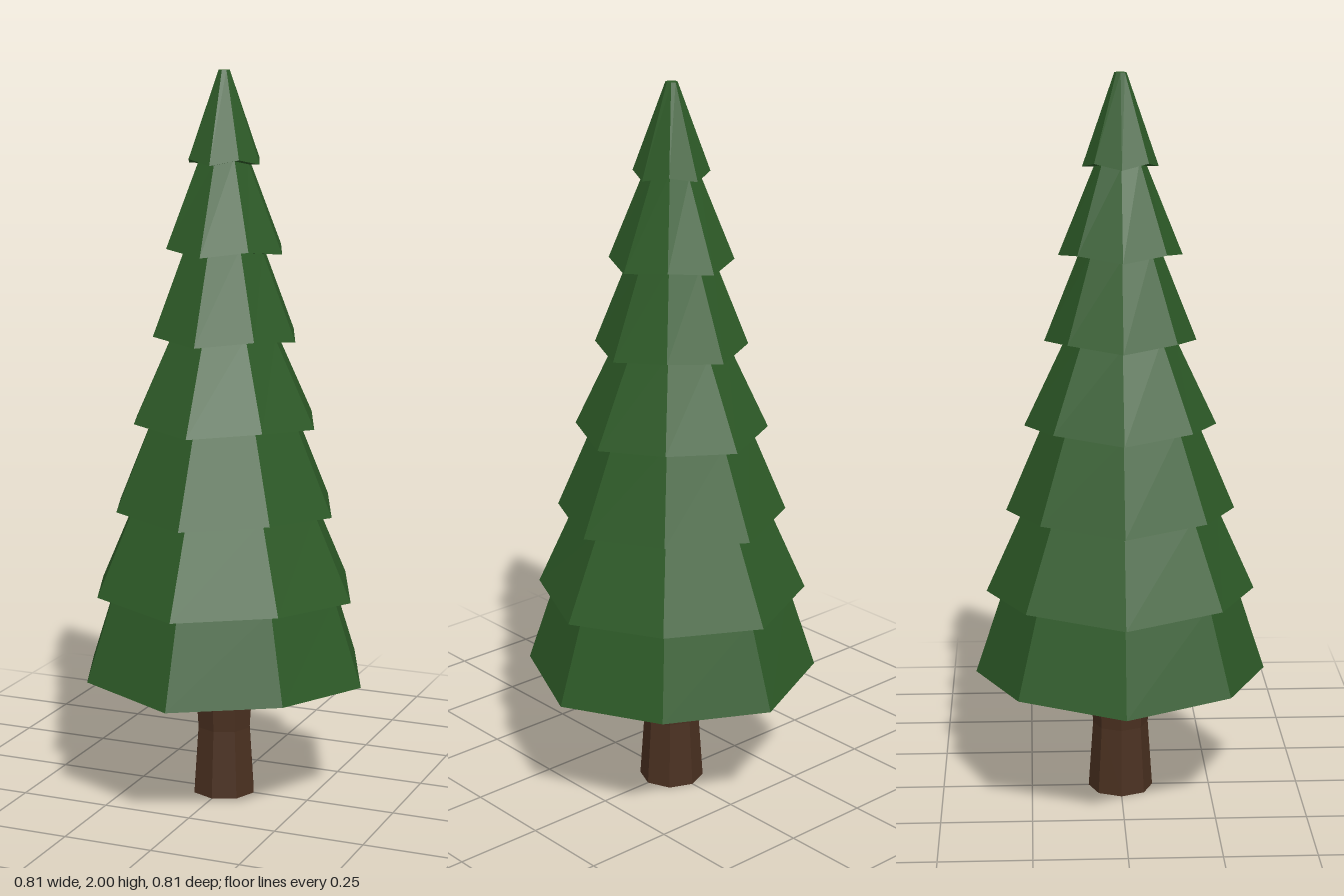
import * as THREE from 'three';

const SIDES = 8;
const LIFT = 0.015; // diagonal corners sit a little higher than the others

// Foliage tiers from bottom to top: [base height, base radius, top radius]
const TIERS = [
  [0.345, 0.403, 0.324],
  [0.580, 0.371, 0.265],
  [0.812, 0.314, 0.211],
  [1.050, 0.262, 0.149],
  [1.284, 0.206, 0.111],
  [1.517, 0.167, 0.069],
  [1.753, 0.102, 0.016],
];

function tierGeometry(rBottom, rTop, height, liftTop) {
  const geo = new THREE.CylinderGeometry(rTop, rBottom, height, SIDES);
  geo.translate(0, height / 2, 0);
  const p = geo.attributes.position;
  for (let i = 0; i < p.count; i++) {
    const diagonal = Math.abs(p.getX(i) * p.getZ(i)) > 1e-5;
    const top = p.getY(i) > height / 2;
    if (diagonal && (!top || liftTop)) p.setY(i, p.getY(i) + LIFT);
  }
  geo.computeVertexNormals();
  return geo;
}

export function createModel() {
  const tree = new THREE.Group();
  tree.name = 'pineTree';
  const green = new THREE.MeshStandardMaterial({ color: 0x2d5a27, flatShading: true });
  const brown = new THREE.MeshStandardMaterial({ color: 0x4a3020, flatShading: true });

  // Trunk with a slight waist
  const profile = [[0, 0], [0.09, 0], [0.077, 0.19], [0.088, 0.355], [0, 0.355]]
    .map(([r, y]) => new THREE.Vector2(r, y));
  const trunk = new THREE.Mesh(new THREE.LatheGeometry(profile, SIDES), brown);
  trunk.name = 'trunk';
  tree.add(trunk);

  // Stacked foliage tiers, each tucked slightly into the one above
  const foliage = new THREE.Group();
  foliage.name = 'foliage';
  TIERS.forEach(([y, rBottom, rTop], i) => {
    const last = i === TIERS.length - 1;
    const topY = last ? 2 : TIERS[i + 1][0] + 0.005;
    const tier = new THREE.Mesh(tierGeometry(rBottom, rTop, topY - y, !last), green);
    tier.position.y = y;
    tier.name = `foliageTier${i + 1}`;
    foliage.add(tier);
  });
  tree.add(foliage);
  return tree;
}
